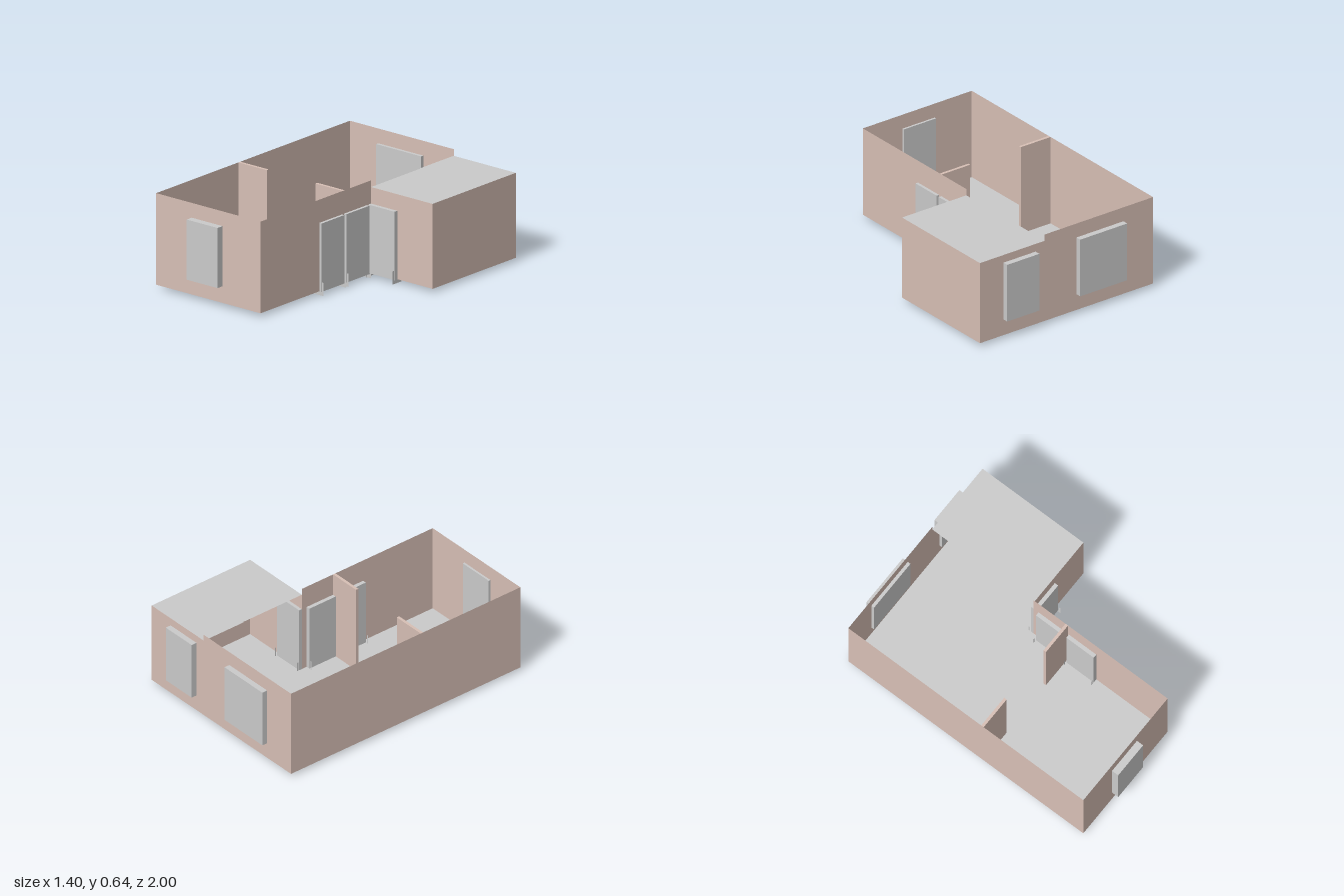
import * as THREE from 'three';

const FLOOR = 0.025, TALL = 0.645, LOW = 0.6;

export function createModel() {
  const model = new THREE.Group();
  model.name = 'lShapedRoom';
  const pink = new THREE.MeshStandardMaterial({ color: 0xd8c0b6, side: THREE.DoubleSide });
  const grey = new THREE.MeshStandardMaterial({ color: 0xcccccc, side: THREE.DoubleSide });

  const add = (name, geometry, material) => {
    const mesh = new THREE.Mesh(geometry, material);
    mesh.name = name;
    model.add(mesh);
    return mesh;
  };

  // Box given by its limits on each axis
  const block = (name, [x0, x1], [y0, y1], [z0, z1], material) =>
    add(name, new THREE.BoxGeometry(x1 - x0, y1 - y0, z1 - z0), material)
      .position.set((x0 + x1) / 2, (y0 + y1) / 2, (z0 + z1) / 2);

  // Thin wall from one plan point to the next, facing outward
  const wall = (name, [x0, z0], [x1, z1], top) => {
    const mesh = add(name, new THREE.PlaneGeometry(Math.hypot(x1 - x0, z1 - z0), top - FLOOR), pink);
    mesh.position.set((x0 + x1) / 2, (FLOOR + top) / 2, (z0 + z1) / 2);
    mesh.rotation.y = Math.atan2(z0 - z1, x1 - x0);
  };

  // Flat horizontal slab following a plan outline of [x, z] points
  const slab = (name, points, y) => {
    const shape = new THREE.Shape(points.map(([x, z]) => new THREE.Vector2(x, z)));
    add(name, new THREE.ShapeGeometry(shape).rotateX(Math.PI / 2), grey).position.y = y;
  };

  // Plan corners, running counterclockwise seen from above
  const frontRight = [-0.7, 0.95], frontLeft = [0.18, 0.95], inner = [0.18, -0.14];
  const annexFront = [0.7, -0.14], annexBack = [0.7, -0.96];
  const junction = [0.18, -0.96], backRight = [-0.7, -0.96];

  wall('frontWall', frontRight, frontLeft, TALL);
  wall('doorWall', frontLeft, inner, TALL);
  wall('annexFrontWall', inner, annexFront, LOW);
  wall('annexSideWall', annexFront, annexBack, LOW);
  wall('annexBackWall', annexBack, junction, LOW);
  wall('backWall', junction, backRight, TALL);
  wall('longSideWall', backRight, frontRight, TALL);

  // Floor under the whole plan, roof over the annex only
  slab('floor', [frontRight, frontLeft, inner, annexFront, annexBack, backRight], FLOOR);
  slab('annexRoof', [inner, annexFront, annexBack, [0.175, -0.96], [0.175, -0.63], [0.18, -0.63]], LOW);

  // Stub partitions either side of the wide opening
  block('rightPartition', [-0.7, -0.46], [FLOOR, TALL], [0.12, 0.14], pink);
  block('leftPartition', [-0.05, 0.18], [FLOOR, TALL], [0.12, 0.14], pink);

  // Windows set through the walls
  const sill = [0.138, 0.545];
  block('frontWindow', [-0.4, -0.14], sill, [0.935, 1], grey);
  block('backWindow', [-0.46, -0.08], sill, [-1, -0.938], grey);
  block('annexWindow', [0.25, 0.51], sill, [-1, -0.938], grey);

  // Doors
  const doorHeight = [FLOOR, 0.488];
  const sideDoors = [[0.147, 0.37], [-0.1, 0.125]];
  sideDoors.forEach((span) => block('sideDoor', [0.153, 0.2], doorHeight, span, grey));
  block('annexDoor', [0.18, 0.402], doorHeight, [-0.162, -0.113], grey);

  // Thin U-shaped brackets gripping the foot of each door at both ends
  const outline = [[-0.0425, 0], [0.0425, 0], [0.0425, 0.09], [0.0325, 0.09],
    [0.0325, FLOOR], [-0.0325, FLOOR], [-0.0325, 0.09], [-0.0425, 0.09]];
  const bracket = new THREE.ShapeGeometry(
    new THREE.Shape(outline.map(([x, y]) => new THREE.Vector2(x, y))));
  sideDoors.flat().forEach((z) => add('sideDoorBracket', bracket, grey).position.set(0.1725, 0, z));
  [0.18, 0.402].forEach((x) => {
    const mesh = add('annexDoorBracket', bracket, grey);
    mesh.position.set(x, 0, -0.1375);
    mesh.rotation.y = Math.PI / 2;
  });

  return model;
}
